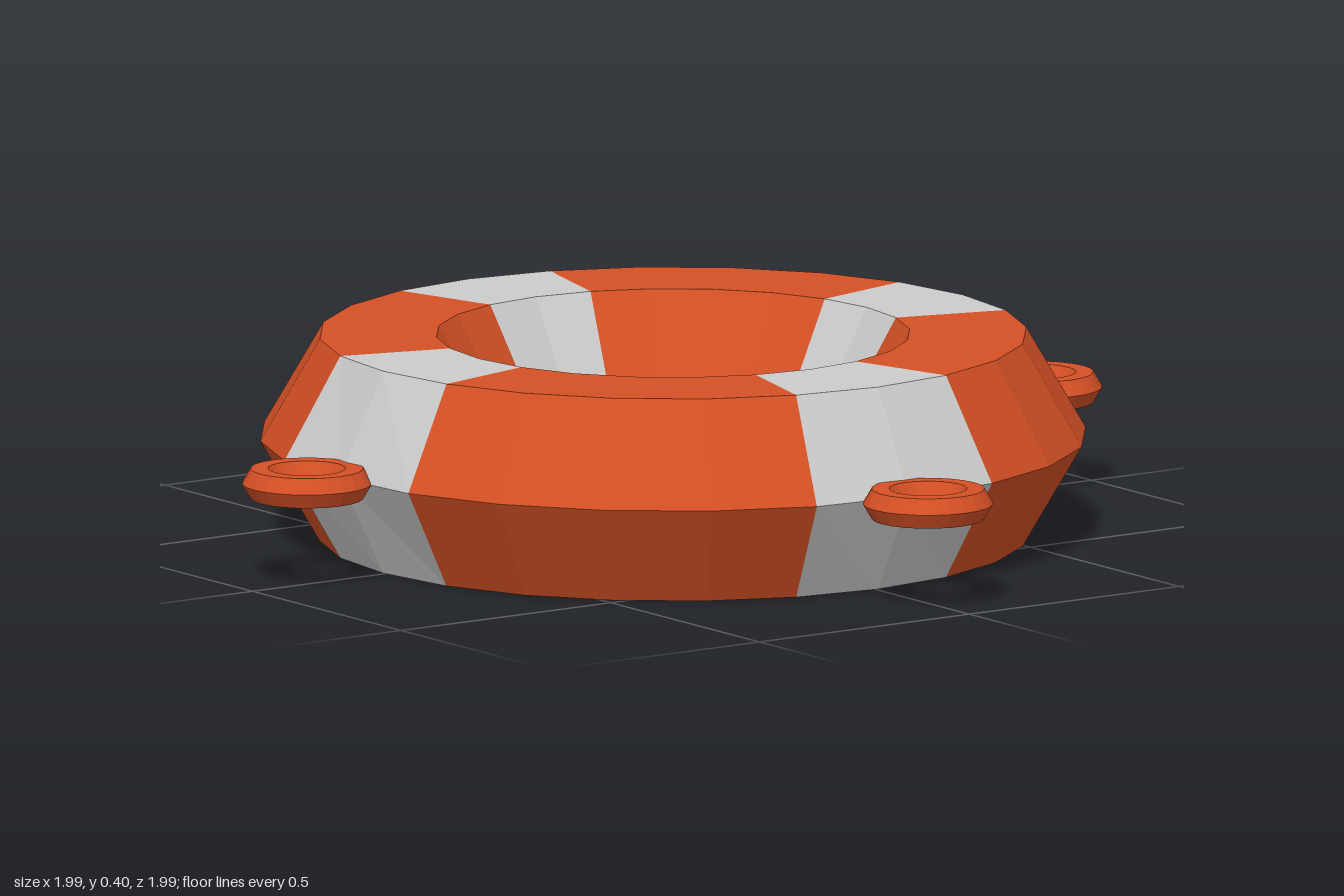
import * as THREE from 'three';

const STEP = Math.PI / 12; // the body has 24 sides

// Lathed section of the hollow body, from the bottom rim over the top to the inner lip
function bodySection(name, startStep, steps, material) {
  const profile = [[0.69, 0], [0.806, 0.2], [0.69, 0.4], [0.462, 0.4], [0.347, 0.2]]
    .map(([r, y]) => new THREE.Vector2(r, y));
  const geometry = new THREE.LatheGeometry(profile, steps, startStep * STEP, steps * STEP);
  const pos = geometry.attributes.position;
  // Flatten the outer edge slightly where the rings attach
  for (let i = 0; i < pos.count; i++) {
    const x = pos.getX(i), z = pos.getZ(i);
    if (Math.hypot(x, z) > 0.75 && Math.min(Math.abs(x), Math.abs(z)) < 0.01) {
      pos.setX(i, x * 0.985);
      pos.setZ(i, z * 0.985);
    }
  }
  const mesh = new THREE.Mesh(geometry, material);
  mesh.name = name;
  return mesh;
}

export function createModel() {
  const model = new THREE.Group();
  model.name = 'lifeBuoy';
  const style = { flatShading: true, side: THREE.DoubleSide };
  const orange = new THREE.MeshStandardMaterial({ color: 0xd45025, ...style });
  const grey = new THREE.MeshStandardMaterial({ color: 0xcccccc, ...style });

  const body = new THREE.Group();
  body.name = 'body';
  body.position.set(-0.005, 0, -0.006);
  model.add(body);

  const ringGeometry = new THREE.TorusGeometry(0.093, 0.034, 6, 24).rotateX(Math.PI / 2);

  for (let i = 0; i < 4; i++) {
    // Alternating grey bands and orange sections
    body.add(bodySection('band', i * 6 - 1, 2, grey));
    body.add(bodySection('section', i * 6 + 1, 4, orange));

    // Rope ring on each band
    const angle = i * Math.PI / 2;
    const ring = new THREE.Mesh(ringGeometry, orange);
    ring.name = 'ropeRing';
    ring.position.set(0.87 * Math.sin(angle), 0.2, 0.87 * Math.cos(angle));
    if (i % 2) ring.position.z = 0.006 * Math.sin(angle);
    model.add(ring);
  }

  // Closed bottom, also seen through the central opening
  const floor = new THREE.Mesh(new THREE.CircleGeometry(0.69, 24).rotateX(Math.PI / 2), orange);
  floor.name = 'bottom';
  body.add(floor);

  return model;
}
